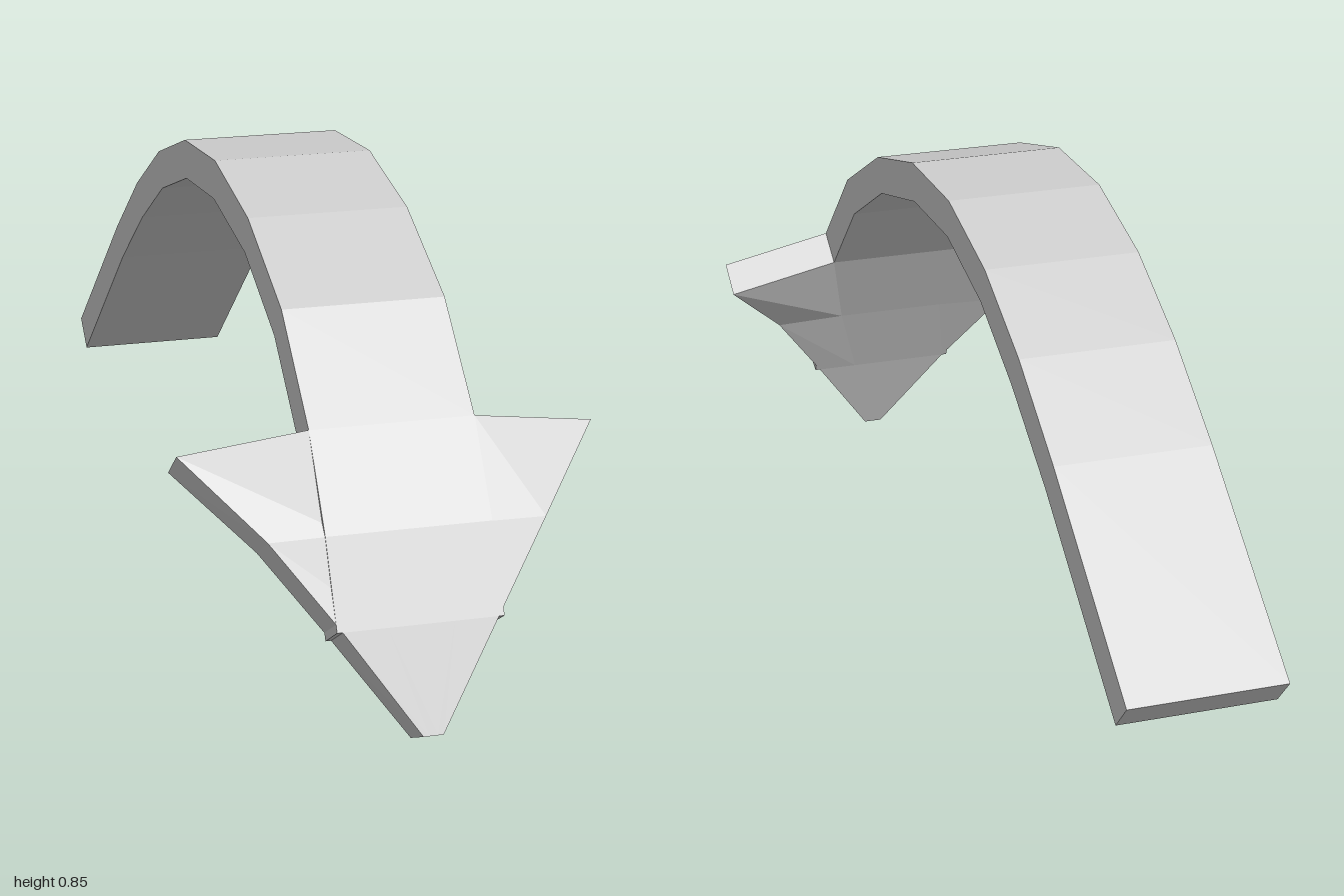
import * as THREE from 'three';

// Lofts a flat-shaded solid through rows of { top, under }, each a list of
// [x, y, z] points running from the right side (-x) to the left side (+x).
function loft(rows) {
  const positions = [];
  const quad = (a, b, c, d) => positions.push(...a, ...b, ...c, ...a, ...c, ...d);
  const rings = rows.map(({ top, under }) => [...top, ...[...under].reverse()]);
  for (let r = 0; r < rings.length - 1; r++) {
    const n = rings[r].length;
    for (let j = 0; j < n; j++) {
      const k = (j + 1) % n;
      quad(rings[r][j], rings[r + 1][j], rings[r + 1][k], rings[r][k]);
    }
  }
  // End caps
  const first = rows[0], last = rows[rows.length - 1];
  for (let i = 0; i < first.top.length - 1; i++) {
    quad(first.top[i], first.top[i + 1], first.under[i + 1], first.under[i]);
    quad(last.under[i], last.under[i + 1], last.top[i + 1], last.top[i]);
  }
  const geometry = new THREE.BufferGeometry();
  geometry.setAttribute('position', new THREE.Float32BufferAttribute(positions, 3));
  geometry.computeVertexNormals();
  return geometry;
}

export function createModel() {
  const group = new THREE.Group();
  group.name = 'curvedArrow';
  const grey = new THREE.MeshStandardMaterial({ color: 0xcccccc });
  grey.name = 'light grey';

  const add = (name, rows) => {
    const mesh = new THREE.Mesh(loft(rows), grey);
    mesh.name = name;
    group.add(mesh);
  };

  // Arched shaft: top z, top y, underside z, underside y
  const arch = [
    [-1, 0.22, -0.95, 0.167],
    [-0.64, 0.522, -0.597, 0.465],
    [-0.46, 0.658, -0.42, 0.595],
    [-0.275, 0.766, -0.25, 0.697],
    [-0.07, 0.835, -0.06, 0.762],
    [0.15, 0.845, 0.14, 0.77],
    [0.375, 0.791, 0.353, 0.722],
    [0.59, 0.68, 0.545, 0.62],
    [0.757, 0.512, 0.7, 0.465],
    [0.857, 0.353, 0.787, 0.311],
    [0.928, 0.205, 0.861, 0.165],
  ];
  const half = 0.15;
  add('shaft', arch.map(([tz, ty, uz, uy]) => ({
    top: [[-half, ty, tz], [half, ty, tz]],
    under: [[-half, uy, uz], [half, uy, uz]],
  })));

  // Arrowhead: inner half width, outer half width, then top and underside
  // positions at the middle; the rear corners droop inwards
  const headRows = [
    { inner: 0.15, outer: 0.377, path: arch[8], droop: [-0.027, -0.036] },
    { inner: 0.11, outer: 0.25, path: arch[9], droop: [-0.004, -0.003] },
    { inner: 0.06, outer: 0.14, path: arch[10], droop: [0, 0] },
    { inner: 0.008, outer: 0.018, path: [1, 0.03, 0.932, 0], droop: [0, 0] },
  ];
  const section = (inner, outer, z, y, [dz, dy]) => [
    [-outer, y + dy, z + dz], [-inner, y, z], [inner, y, z], [outer, y + dy, z + dz],
  ];
  add('arrowhead', headRows.map(({ inner, outer, path: [tz, ty, uz, uy], droop }) => ({
    top: section(inner, outer, tz, ty, droop),
    under: section(inner, outer, uz, uy, droop),
  })));

  return group;
}
